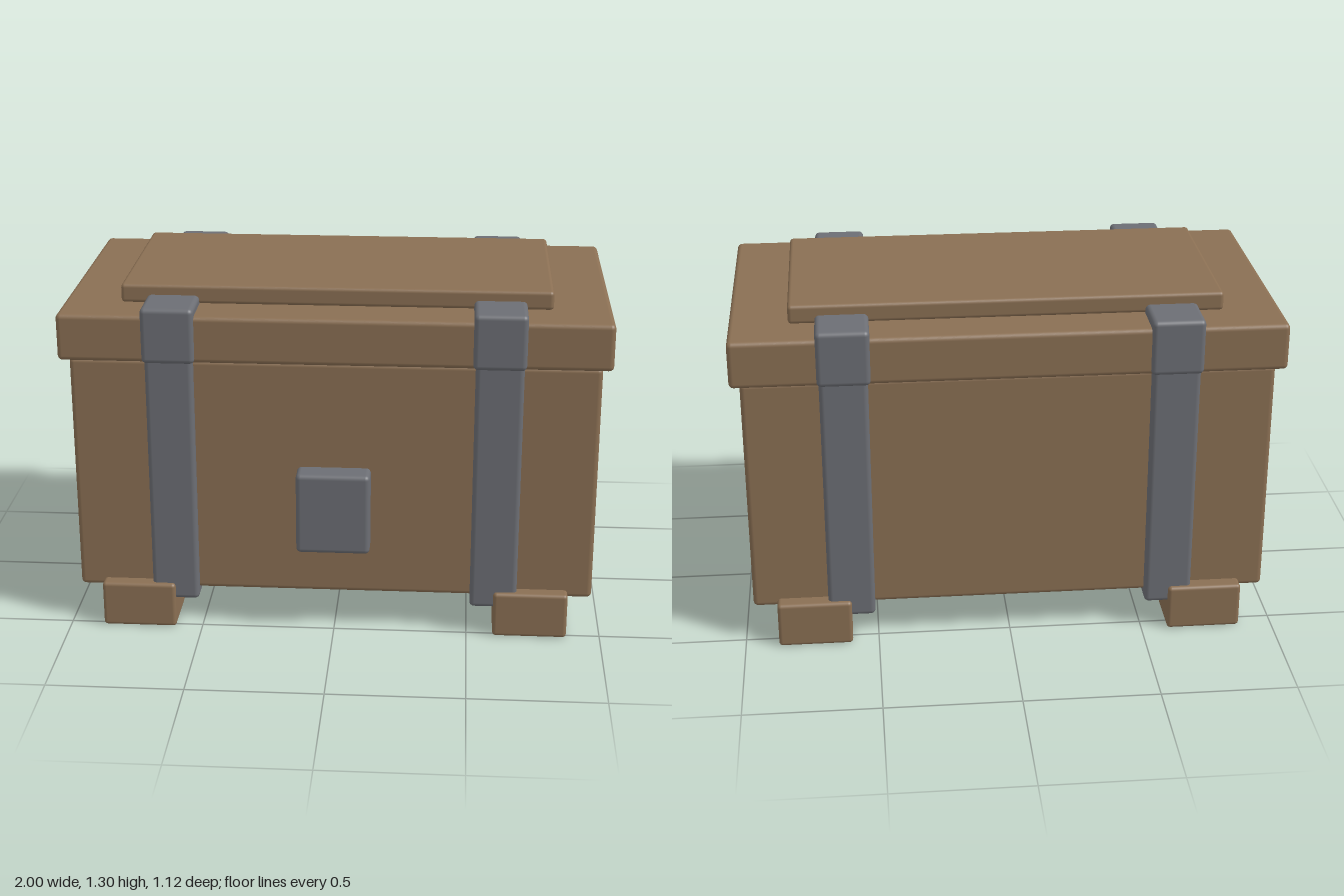
import * as THREE from 'three';
import { RoundedBoxGeometry } from 'three/addons/geometries/RoundedBoxGeometry.js';

export function createModel() {
  const chest = new THREE.Group();
  chest.name = 'chest';

  const wood = new THREE.MeshStandardMaterial({ color: 0x8a6f53 });
  wood.name = 'wood';
  const iron = new THREE.MeshStandardMaterial({ color: 0x6c6e74 });
  iron.name = 'iron';

  // Softly bevelled block given by its extents on each axis
  function block(name, material, [x0, x1], [y0, y1], [z0, z1], radius = 0.018) {
    const geometry = new RoundedBoxGeometry(x1 - x0, y1 - y0, z1 - z0, 3, radius);
    const mesh = new THREE.Mesh(geometry, material);
    mesh.position.set((x0 + x1) / 2, (y0 + y1) / 2, (z0 + z1) / 2);
    mesh.name = name;
    chest.add(mesh);
  }

  // Wooden box, overhanging lid and raised lid panel
  block('body', wood, [-0.965, 0.965], [0.145, 1.055], [-0.505, 0.475]);
  block('lid', wood, [-1, 1], [1.055, 1.23], [-0.545, 0.51]);
  block('lidPanel', wood, [-0.787, 0.787], [1.23, 1.3], [-0.385, 0.35], 0.014);

  // Lock plate on the front
  block('lock', iron, [-0.136, 0.136], [0.338, 0.65], [0.44, 0.56]);

  // Feet, straps around the body and bands around the lid, on both sides
  for (const [side, s] of [['left', 1], ['right', -1]]) {
    const span = (a, b) => (s > 0 ? [a, b] : [-b, -a]);
    block(side + 'Foot', wood, span(0.598, 0.875), [0, 0.176], [-0.56, 0.525], 0.014);
    block(side + 'Strap', iron, span(0.51, 0.685), [0.11, 1.08], [-0.543, 0.508]);
    block(side + 'LidBand', iron, span(0.5, 0.692), [1.055, 1.262], [-0.56, 0.527]);
  }

  return chest;
}
